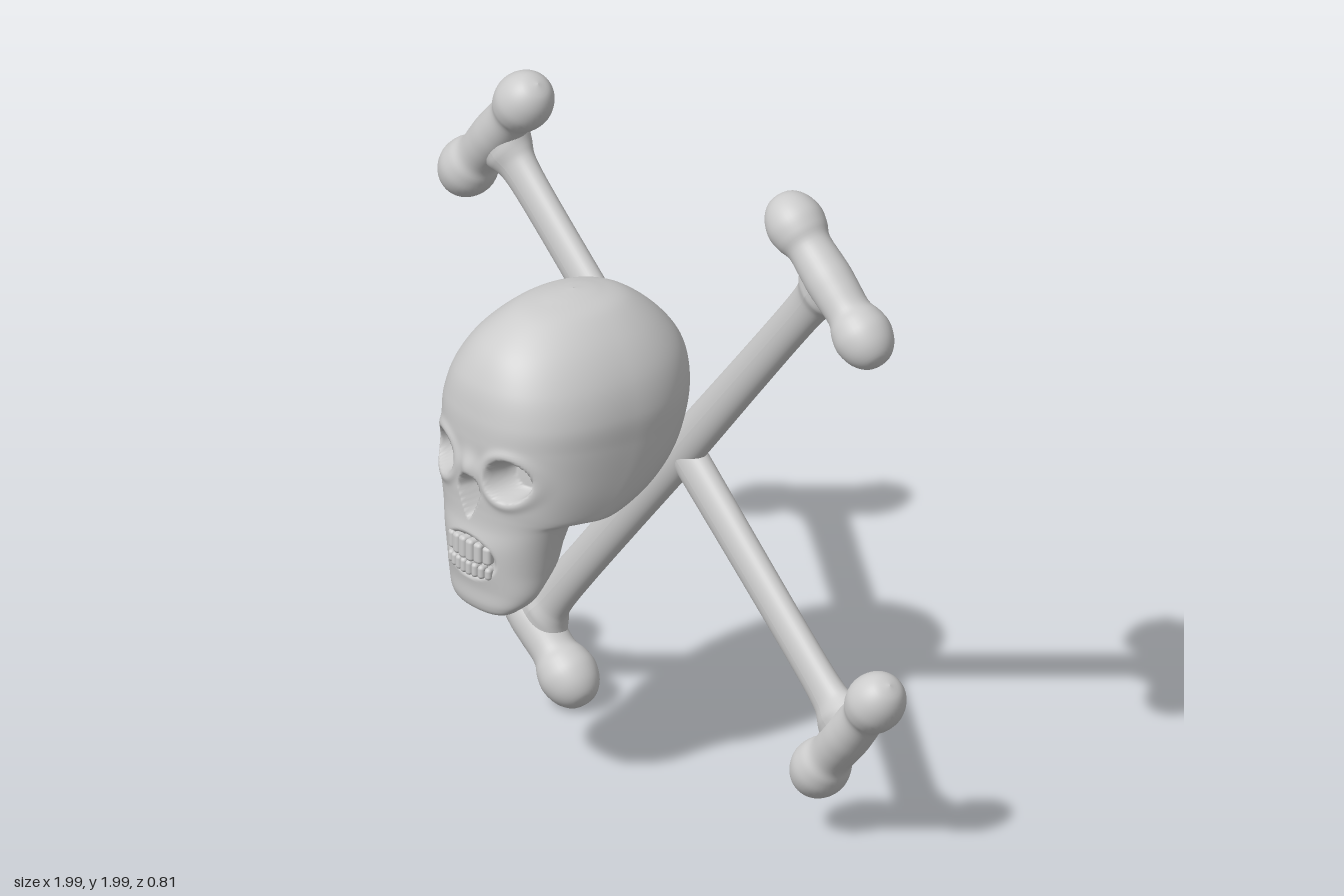
import * as THREE from 'three';
import { RoundedBoxGeometry } from 'three/addons/geometries/RoundedBoxGeometry.js';

const bone = new THREE.MeshStandardMaterial({ color: 0xcccccc });
const SKULL_X = -0.06;

function mesh(name, geometry, parent) {
  const m = new THREE.Mesh(geometry, bone);
  m.name = name;
  parent.add(m);
  return m;
}

// Skull rings, chin to crown:
// [front y, front z, back y, back z, half width, z of widest point, squareness]
const RINGS = [
  [0.672, 0.345, 0.674, 0.335, 0.002, 0.34, 2],
  [0.678, 0.368, 0.676, 0.312, 0.09, 0.335, 2.2],
  [0.705, 0.380, 0.700, 0.285, 0.135, 0.315, 2.2],
  [0.755, 0.383, 0.740, 0.235, 0.168, 0.28, 2.2],
  [0.820, 0.395, 0.815, 0.135, 0.182, 0.26, 2.1],
  [0.890, 0.398, 0.900, 0.110, 0.198, 0.25, 2.1],
  [0.950, 0.387, 0.980, 0.085, 0.220, 0.22, 2.3],
  [1.000, 0.385, 0.948, 0.030, 0.240, 0.17, 2.5],
  [1.045, 0.386, 0.930, -0.060, 0.252, 0.12, 2.7],
  [1.100, 0.384, 0.972, -0.190, 0.265, 0.07, 2.8],
  [1.160, 0.382, 1.050, -0.285, 0.274, 0.03, 2.8],
  [1.220, 0.384, 1.150, -0.335, 0.280, 0.01, 2.7],
  [1.290, 0.380, 1.260, -0.352, 0.282, 0.0, 2.6],
  [1.380, 0.360, 1.365, -0.335, 0.258, 0.0, 2.4],
  [1.470, 0.305, 1.455, -0.270, 0.205, 0.0, 2.2],
  [1.540, 0.205, 1.530, -0.175, 0.130, 0.0, 2],
  [1.564, 0.100, 1.560, -0.085, 0.060, 0.0, 2],
  [1.571, 0.003, 1.571, -0.003, 0.002, 0.0, 2],
];

// Catmull-Rom blend of the ring table
function ringAt(s) {
  const last = RINGS.length - 1;
  const i = Math.min(Math.floor(s), last - 1), t = s - i;
  const [a, b, c, d] = [-1, 0, 1, 2].map(k => RINGS[Math.min(Math.max(i + k, 0), last)]);
  return b.map((p, k) => 0.5 * (2 * p + (c[k] - a[k]) * t
    + (2 * a[k] - 5 * p + 4 * c[k] - d[k]) * t * t
    + (3 * p - a[k] - 3 * c[k] + d[k]) * t * t * t));
}

const inside = (d, inner, outer) => 1 - THREE.MathUtils.smoothstep(d, inner, outer);
const bump = (v, width) => Math.exp(-(v * v) / (width * width));

// Depth added to the face at (x, y): sockets, nose, brow and mouth
function faceRelief(x, y) {
  const ax = Math.abs(x);
  const eye = Math.hypot((ax - 0.137) / 0.064, (y - 1.122) / 0.062);
  const ny = y - 1.05;
  const nose = Math.hypot(x / (0.045 * (ny < 0 ? Math.max(1 + ny / 0.13, 0.2) : 1)), ny / (ny > 0 ? 0.055 : 0.085));
  const mouth = Math.hypot(x / 0.108, (y - 0.85) / 0.068);
  return -0.085 * inside(eye, 0.7, 1.05)
    + 0.008 * bump(eye - 1.25, 0.25)
    - 0.075 * inside(nose, 0.6, 1.05)
    + 0.018 * bump(x, 0.035) * bump(y - 1.125, 0.04)
    - 0.022 * inside(mouth, 0.75, 1.05);
}

function skullGeometry() {
  const rows = 150, cols = 224, pos = [], index = [];
  for (let i = 0; i <= rows; i++) {
    const [yf, zf, yb, zb, w, zc, n] = ringAt(i / rows * (RINGS.length - 1));
    for (let j = 0; j < cols; j++) {
      const t = j / cols * Math.PI * 2, s = Math.sin(t), c = Math.cos(t);
      const e = c > 0 ? n : 2.1;
      const r = Math.pow(Math.abs(s) ** e + Math.abs(c) ** e, -1 / e);
      const x = w * r * s;
      let z = zc + r * c * (c > 0 ? zf - zc : zc - zb);
      const y = THREE.MathUtils.lerp(yb, yf, (z - zb) / (zf - zb));
      if (c > 0) z += faceRelief(x, y) * THREE.MathUtils.smoothstep(c, 0.2, 0.5);
      // hollow between the two sides of the jaw
      else z += 0.08 * c * c * bump(x, 0.09) * bump(y - 0.86, 0.07);
      pos.push(x, y, z);
      if (i < rows) {
        const k = (j + 1) % cols, a = i * cols;
        index.push(a + j, a + k, a + cols + k, a + j, a + cols + k, a + cols + j);
      }
    }
  }
  const g = new THREE.BufferGeometry();
  g.setAttribute('position', new THREE.Float32BufferAttribute(pos, 3));
  g.setIndex(index);
  g.computeVertexNormals();
  return g;
}

// Row of teeth following the curve of the jaw
function addTeeth(parent, name, count, y, height, span) {
  const row = new THREE.Group();
  row.name = name;
  const width = 2 * span / count;
  for (let i = 0; i < count; i++) {
    const x = -span + (i + 0.5) * width, k = x / 0.19;
    const h = height * (1 - 0.25 * (x / span) ** 2);
    const tooth = mesh('tooth', new RoundedBoxGeometry(width * 0.97, h, 0.036, 3, 0.011), row);
    tooth.position.set(x, y, 0.245 + 0.142 * Math.sqrt(1 - k * k));
    tooth.rotation.y = Math.asin(k) * 0.8;
  }
  parent.add(row);
}

// Spun solid through [radius, height] points, smoothed
function spun(points) {
  const curve = new THREE.SplineCurve(points.map(p => new THREE.Vector2(...p)));
  return new THREE.LatheGeometry(curve.getPoints(64).map(p => p.set(Math.max(p.x, 0), p.y)), 40);
}

const mirrored = half => [...half.map(([r, h]) => [r, -h]), ...half.slice(0, -1).reverse()];

// Bone end: two knobs joined by a bar, between two knob centres
function addBoneEnd(parent, [x1, y1], [x2, y2]) {
  const L = Math.hypot(x2 - x1, y2 - y1) / 2;
  const half = [[0, L + 0.09], [0.042, L + 0.077], [0.072, L + 0.043], [0.086, L - 0.005],
    [0.080, L - 0.05], [0.066, L - 0.09], [0.068, 0.05], [0.07, 0]];
  const end = mesh('boneEnd', spun(mirrored(half)), parent);
  end.position.set((x1 + x2) / 2, (y1 + y2) / 2, -0.315);
  end.rotation.z = Math.atan2(y2 - y1, x2 - x1) - Math.PI / 2;
  return end.position;
}

function addBone(parent, name, upper, lower, z) {
  const group = new THREE.Group();
  group.name = name;
  const a = addBoneEnd(group, ...upper), b = addBoneEnd(group, ...lower);
  const L = a.distanceTo(b) / 2;
  const half = [[0.125, L], [0.11, L - 0.04], [0.079, L - 0.085], [0.064, L - 0.14], [0.06, L - 0.3], [0.061, L * 0.4], [0.064, 0]];
  const shaft = mesh('shaft', spun(mirrored(half)), group);
  // slightly flattened front to back, thinnest at the flared ends
  const p = shaft.geometry.attributes.position;
  for (let i = 0; i < p.count; i++) {
    const r = Math.hypot(p.getX(i), p.getZ(i));
    p.setZ(i, p.getZ(i) * Math.min(0.72, 0.062 / r));
  }
  shaft.geometry.computeVertexNormals();
  shaft.position.set((a.x + b.x) / 2, (a.y + b.y) / 2, z);
  shaft.rotation.z = Math.atan2(a.y - b.y, a.x - b.x) - Math.PI / 2;
  parent.add(group);
}

export function createModel() {
  const model = new THREE.Group();
  model.name = 'skullAndCrossedBones';

  const head = new THREE.Group();
  head.name = 'head';
  head.position.x = SKULL_X;
  mesh('skull', skullGeometry(), head);
  addTeeth(head, 'upperTeeth', 6, 0.872, 0.068, 0.09);
  addTeeth(head, 'lowerTeeth', 8, 0.816, 0.046, 0.09);
  model.add(head);

  addBone(model, 'risingBone', [[0.54, 1.91], [0.855, 1.655]], [[-0.775, 0.355], [-0.455, 0.092]], -0.322);
  addBone(model, 'fallingBone', [[-0.655, 1.845], [-0.915, 1.53]], [[0.91, 0.535], [0.65, 0.22]], -0.326);
  return model;
}
